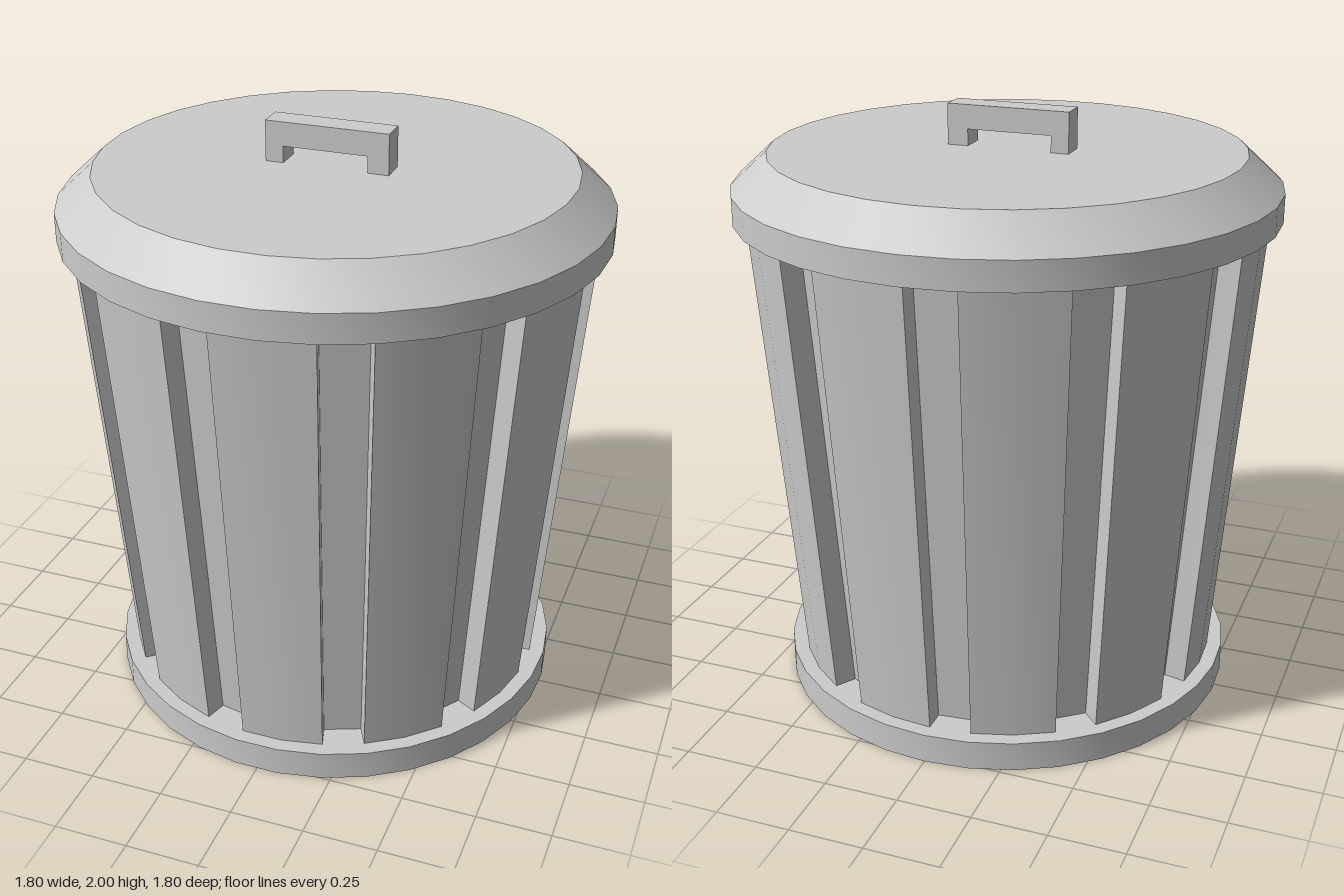
import * as THREE from 'three';
import { toCreasedNormals } from 'three/addons/utils/BufferGeometryUtils.js';

const SIDES = 33;
const STEP = (Math.PI * 2) / SIDES;
const CREASE = 0.5;

export function createModel() {
  const group = new THREE.Group();
  const material = new THREE.MeshStandardMaterial({ color: 0xcccccc });

  const add = (name, geometry) => {
    const mesh = new THREE.Mesh(toCreasedNormals(geometry, CREASE), material);
    mesh.name = name;
    group.add(mesh);
  };

  // Closed round part from a [radius, height] profile, bottom to top
  const turned = (profile) => new THREE.LatheGeometry(
    profile.map(([r, y]) => new THREE.Vector2(r, y)), SIDES, Math.PI);

  add('base', turned([[0, 0], [0.78, 0], [0.78, 0.1], [0, 0.1]]));
  add('lid', turned([[0, 1.66], [0.9, 1.66], [0.9, 1.755], [0.78, 1.865], [0, 1.865]]));

  // Ribbed bin: two raised sides, then one recessed side, eleven times around
  const outer = 0.73, inner = 0.655, flare = 0.127;
  const bottom = 0.1, height = 1.55;
  const outline = [];
  for (let i = 0; i < SIDES; i += 3) {
    const start = (i - 0.5) * STEP;
    [[outer, 0], [outer, 1], [outer, 2], [inner, 2], [inner, 3]].forEach(([r, k]) => {
      const a = start + k * STEP;
      outline.push(new THREE.Vector2(r * Math.sin(a), -r * Math.cos(a)));
    });
  }
  const bin = new THREE.ExtrudeGeometry(new THREE.Shape(outline), { depth: height, bevelEnabled: false });
  bin.rotateX(-Math.PI / 2);
  // Widen the bin towards the top
  const pos = bin.attributes.position;
  for (let i = 0; i < pos.count; i++) {
    const x = pos.getX(i), y = pos.getY(i), z = pos.getZ(i);
    const s = 1 + (flare * y / height) / Math.hypot(x, z);
    pos.setXYZ(i, x * s, y + bottom, z * s);
  }
  add('bin', bin);

  // Square-cornered handle on the lid
  const handleShape = new THREE.Shape([
    [-0.22, 1.86], [-0.16, 1.86], [-0.16, 1.92], [0.125, 1.92],
    [0.125, 1.86], [0.195, 1.86], [0.195, 2], [-0.22, 2],
  ].map(([x, y]) => new THREE.Vector2(x, y)));
  const handle = new THREE.ExtrudeGeometry(handleShape, { depth: 0.09, bevelEnabled: false });
  handle.translate(0, 0, -0.035);
  add('handle', handle);

  return group;
}
